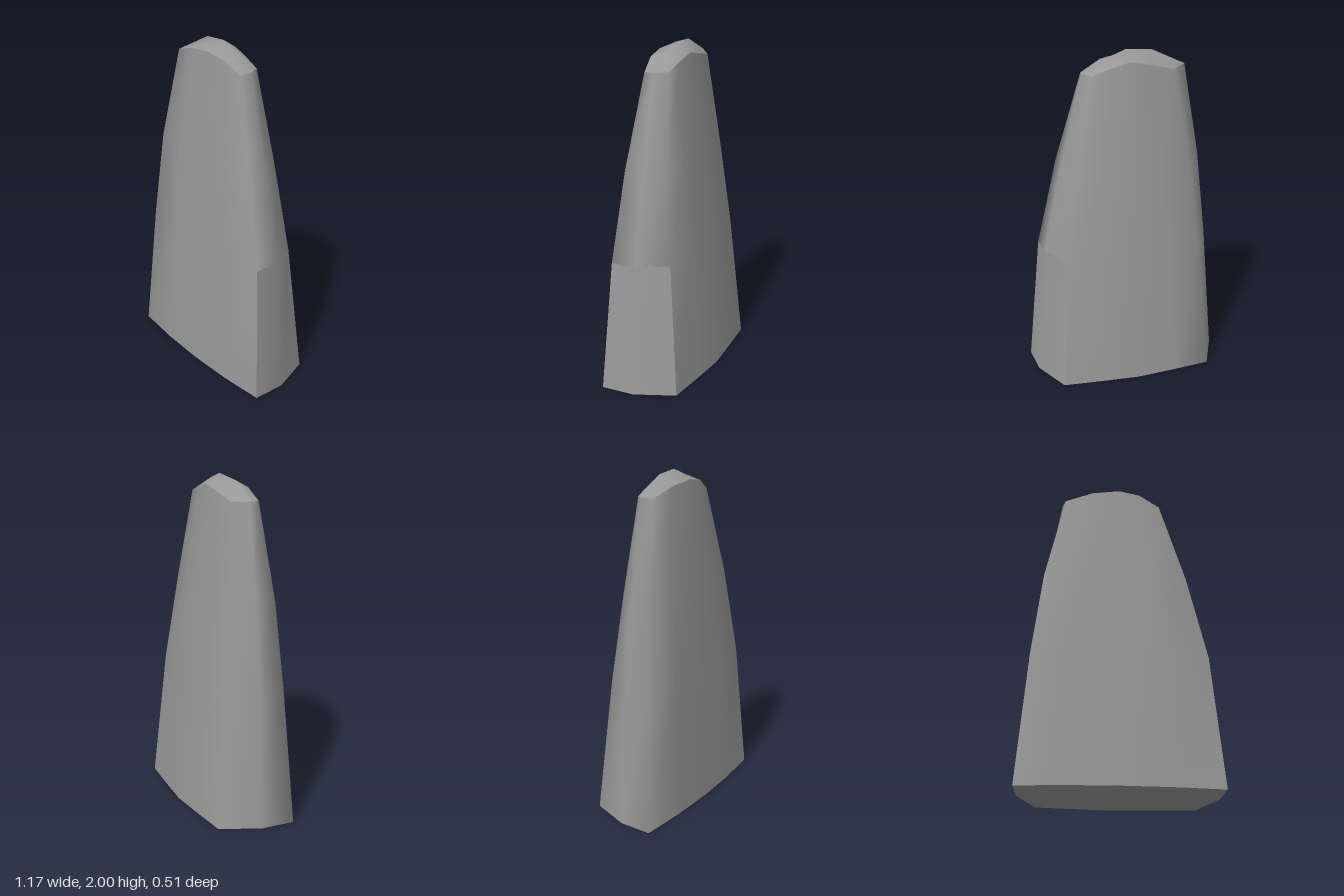
import * as THREE from 'three';
import { mergeVertices } from 'three/addons/utils/BufferGeometryUtils.js';

// Each ring runs from the front -x corner to the front +x corner, round the back and home:
// front corner, front middle, front corner, side +x, back corner, back middle, back corner, side -x, as [x, z]
const LEVELS = [
  { y: Array(8).fill(0),
    p: [[-0.585, 0.22], [0, 0.255], [0.582, 0.22], [0.57, 0.02], [0.463, -0.215], [0, -0.255], [-0.463, -0.215], [-0.57, 0.02]] },
  { y: Array(8).fill(0.8),
    p: [[-0.52, 0.175], [0, 0.218], [0.515, 0.175], [0.505, 0.025], [0.405, -0.147], [0, -0.187], [-0.405, -0.147], [-0.507, 0.025]] },
  { y: Array(8).fill(1.33),
    p: [[-0.455, 0.145], [0, 0.188], [0.4, 0.143], [0.395, 0.028], [0.33, -0.09], [0, -0.13], [-0.355, -0.09], [-0.45, 0.028]] },
  { y: [1.885, 1.95, 1.865, 1.875, 1.875, 1.945, 1.88, 1.89],
    p: [[-0.335, 0.097], [0, 0.133], [0.25, 0.095], [0.26, 0.03], [0.22, -0.04], [0, -0.062], [-0.27, -0.04], [-0.355, 0.03]] },
];

// Expand a level to 12 points by adding quarter points on the broad faces
function ring({ y, p }) {
  const v = p.map(([x, z], i) => new THREE.Vector3(x, y[i], z));
  const mid = (corner, centre, bulge) => {
    const m = v[corner].clone().lerp(v[centre], bulge);
    m.x = (v[corner].x + v[centre].x) / 2;
    return m;
  };
  return [v[0], mid(0, 1, 0.75), v[1], mid(2, 1, 0.75), v[2], v[3],
    v[4], mid(4, 5, 0.55), v[5], mid(6, 5, 0.55), v[6], v[7]];
}

// Add a triangle to a list, skipping the collapsed ones
function tri(list, a, b, c) {
  if (a.equals(b) || b.equals(c) || c.equals(a)) return;
  list.push(a, b, c);
}

// One smooth-shaded patch; patches meet at hard edges
function smoothPatch(points) {
  const g = mergeVertices(new THREE.BufferGeometry().setFromPoints(points));
  g.computeVertexNormals();
  return g;
}

export function createModel() {
  const group = new THREE.Group();
  group.name = 'standingStone';
  const material = new THREE.MeshStandardMaterial({ color: 0x999999 });
  const rings = LEVELS.map(ring);

  // Crown ridge: the rim folds up onto three points
  const A = new THREE.Vector3(-0.15, 1.99, 0.025);
  const B = new THREE.Vector3(0, 2, 0.025);
  const C = new THREE.Vector3(0.12, 1.955, 0.025);
  rings.push([A, A, B, C, C, C, C, C, B, A, A, A]);

  const patches = { body: [], lowerSide: [], crown: [], underside: [] };

  // Walls and crown; the lower +x side has hard edges of its own
  for (let k = 0; k < rings.length - 1; k++) {
    const lo = rings[k], hi = rings[k + 1];
    for (let i = 0; i < 12; i++) {
      const j = (i + 1) % 12;
      const lowerSide = k === 0 && (i === 4 || i === 5);
      const list = k === 3 ? patches.crown : lowerSide ? patches.lowerSide : patches.body;
      tri(list, lo[i], lo[j], hi[j]);
      tri(list, lo[i], hi[j], hi[i]);
    }
  }

  // Flat underside
  const centre = new THREE.Vector3();
  rings[0].forEach((a, i) => tri(patches.underside, centre, rings[0][(i + 1) % 12], a));

  for (const [name, points] of Object.entries(patches)) {
    const mesh = new THREE.Mesh(smoothPatch(points), material);
    mesh.name = name;
    group.add(mesh);
  }
  return group;
}
